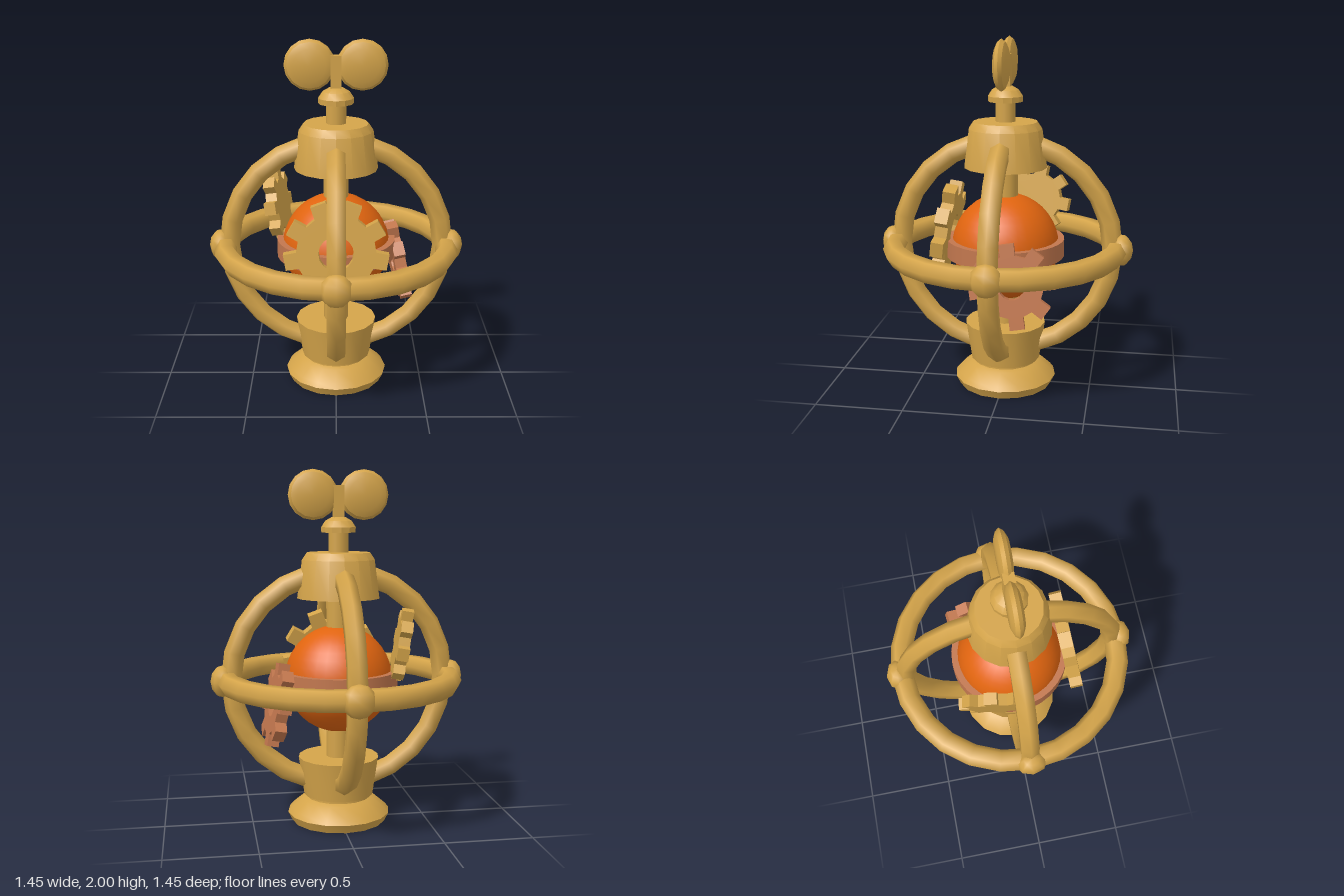
import * as THREE from 'three';
import { toCreasedNormals } from 'three/addons/utils/BufferGeometryUtils.js';

export function createModel() {
  const material = (name, color) => {
    const m = new THREE.MeshStandardMaterial({ color });
    m.name = name;
    return m;
  };
  const brass = material('brass', 0xd4a44a);
  const copper = material('copper', 0xc2774e);
  const orange = material('orange', 0xe0640f);

  const model = new THREE.Group();
  model.name = 'clockworkOrb';
  const add = (name, geometry, mat, x = 0, y = 0, z = 0) => {
    const mesh = new THREE.Mesh(geometry, mat);
    mesh.name = name;
    mesh.position.set(x, y, z);
    model.add(mesh);
    return mesh;
  };
  const turned = (points, sides = 16) => toCreasedNormals(
    new THREE.LatheGeometry(points.map(([r, y]) => new THREE.Vector2(r, y)), sides), 0.5);

  const centreY = 0.83;

  // Foot, cups and shafts
  add('foot', turned([[0, 0], [0.27, 0], [0.295, 0.05], [0.275, 0.075], [0.21, 0.13], [0.185, 0.14], [0.185, 0.16], [0, 0.16]]), brass);
  add('lowerCup', turned([[0, 0.155], [0.2, 0.155], [0.232, 0.375], [0, 0.375]]), brass);
  add('upperCup', turned([[0, 1.29], [0.235, 1.29], [0.207, 1.505], [0.18, 1.545], [0, 1.545]]), brass);
  add('mainShaft', new THREE.CylinderGeometry(0.07, 0.07, 0.94, 12), brass, 0, centreY, 0);
  add('keyShaft', new THREE.CylinderGeometry(0.056, 0.056, 0.13, 12), brass, 0, 1.6, 0);
  add('keyCollar', turned([[0, 1.655], [0.097, 1.655], [0.098, 1.685], [0.075, 1.72], [0.04, 1.74], [0, 1.742]], 12), brass);

  // Winding key
  add('keyStem', new THREE.BoxGeometry(0.06, 0.19, 0.06), brass, 0, 1.82, 0);
  const wing = turned([[0, -0.037], [0.09, -0.035], [0.125, -0.02], [0.14, 0], [0.125, 0.02], [0.09, 0.035], [0, 0.037]]);
  wing.rotateX(Math.PI / 2);
  for (const side of [-1, 1]) add('keyWing', wing, brass, side * 0.143, 1.863, 0);

  // Cage of three rings
  const hoop = new THREE.TorusGeometry(0.61, 0.058, 6, 24);
  add('sideHoop', hoop, brass, 0, centreY, 0);
  add('frontHoop', hoop, brass, 0, centreY, 0).rotation.y = Math.PI / 2;
  add('equatorRing', new THREE.TorusGeometry(0.635, 0.063, 6, 24), brass, 0, centreY, 0).rotation.x = Math.PI / 2;

  // Studs where the rings cross
  const stud = new THREE.SphereGeometry(0.09, 8, 6);
  stud.scale(1, 1, 0.75);
  for (let i = 0; i < 4; i++) {
    const a = i * Math.PI / 2;
    add('cageStud', stud, brass, Math.sin(a) * 0.658, centreY, Math.cos(a) * 0.658).rotation.y = a;
  }

  // Core and its band
  add('core', new THREE.SphereGeometry(0.305, 32, 20), orange, 0, centreY, 0);
  add('coreBand', new THREE.CylinderGeometry(0.337, 0.337, 0.1, 32), copper, 0, centreY, 0);

  // Gears, each turned so its axis follows the given normal
  const addGear = (name, { teeth, outer, root, hole, depth, phase, at, normal, mat }) => {
    const pitch = Math.PI * 2 / teeth;
    const points = [];
    for (let i = 0; i < teeth; i++) {
      for (const [r, offset] of [[root, -0.3], [outer, -0.22], [outer, 0.22], [root, 0.3]]) {
        const a = phase + (i + offset) * pitch;
        points.push(new THREE.Vector2(Math.cos(a) * r, Math.sin(a) * r));
      }
    }
    const shape = new THREE.Shape(points);
    if (hole) shape.holes.push(new THREE.Path().absarc(0, 0, hole, 0, Math.PI * 2, true));
    const geometry = new THREE.ExtrudeGeometry(shape, { depth, bevelEnabled: false, curveSegments: 8 });
    geometry.translate(0, 0, -depth / 2);
    add(name, geometry, mat, ...at).quaternion.setFromUnitVectors(
      new THREE.Vector3(0, 0, 1), new THREE.Vector3(...normal).normalize());
  };
  addGear('frontGear', {
    teeth: 9, outer: 0.285, root: 0.215, hole: 0.095, depth: 0.072, phase: -Math.PI / 2,
    at: [0, 0.912, 0.335], normal: [0, 0.15, 1], mat: brass,
  });
  addGear('leftGear', {
    teeth: 8, outer: 0.235, root: 0.17, hole: 0.07, depth: 0.065, phase: 0.35,
    at: [0.36, 0.705, -0.09], normal: [1, 0.19, -0.1], mat: copper,
  });
  addGear('rightGear', {
    teeth: 8, outer: 0.205, root: 0.15, hole: 0, depth: 0.065, phase: 0,
    at: [-0.335, 1.035, -0.14], normal: [1, 0.17, 0.16], mat: brass,
  });

  return model;
}
